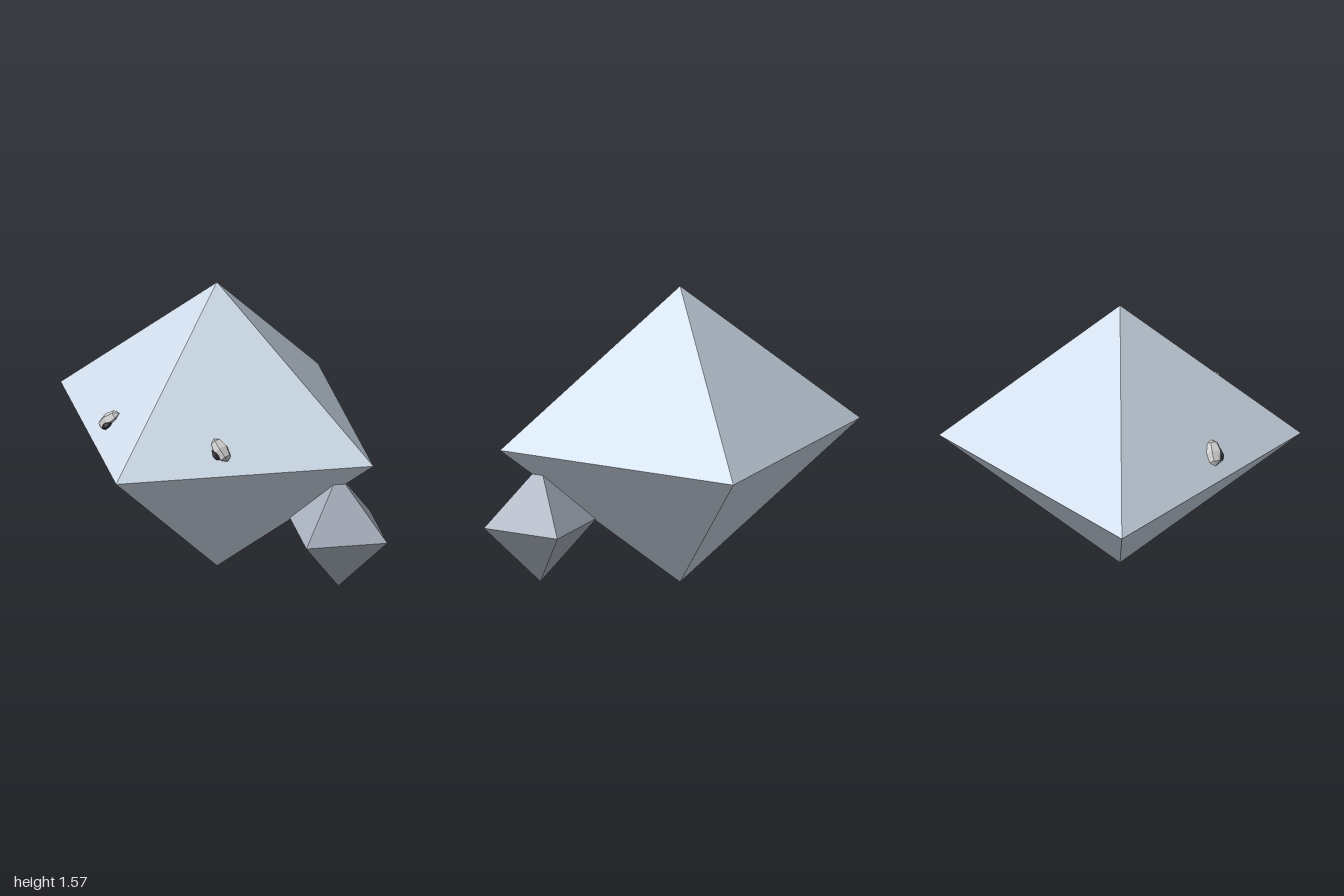
import * as THREE from 'three';

const material = (color) => new THREE.MeshStandardMaterial({ color, flatShading: true });

// Faceted solid stretched to the given half-sizes
function solid(name, geometry, mat, [rx, ry, rz], [x, y, z]) {
  geometry.scale(rx, ry, rz);
  const mesh = new THREE.Mesh(geometry, mat);
  mesh.name = name;
  mesh.position.set(x, y, z);
  return mesh;
}

export function createModel() {
  const model = new THREE.Group();
  model.name = 'crystalCreature';

  const bodyMat = material(0xcfdcea);
  const shardMat = material(0xa9b1be);
  const eyeMat = material(0xcccccc);
  const pupilMat = material(0x37343c);
  const bodyX = -0.045;

  // Large body and the smaller shard sunk into its lower left edge
  model.add(solid('body', new THREE.OctahedronGeometry(1), bodyMat,
    [0.955, 0.785, 0.917], [bodyX, 0.785, 0]));
  model.add(solid('sideShard', new THREE.OctahedronGeometry(1), shardMat,
    [0.3, 0.31, 0.29], [0.695, 0.38, 0]));

  // Slanted eyes, mirrored about the body's middle
  for (const side of [-1, 1]) {
    const eye = new THREE.Group();
    eye.name = side < 0 ? 'rightEye' : 'leftEye';
    eye.position.set(bodyX + side * 0.34, 0.895, 0.47);
    eye.rotation.set(-0.25, 0, -side * 0.75, 'XYZ');

    // Faceted eyeball with its poles along the slant
    const ball = new THREE.SphereGeometry(1, 6, 4).rotateZ(Math.PI / 2);
    eye.add(solid('eyeball', ball, eyeMat, [0.07, 0.04, 0.046], [0, 0, 0]));

    // Dark pupil on the lower inner front
    eye.add(solid('pupil', new THREE.IcosahedronGeometry(1), pupilMat,
      [0.036, 0.02, 0.024], [side * 0.012, -0.022, 0.026]));
    model.add(eye);
  }
  return model;
}
